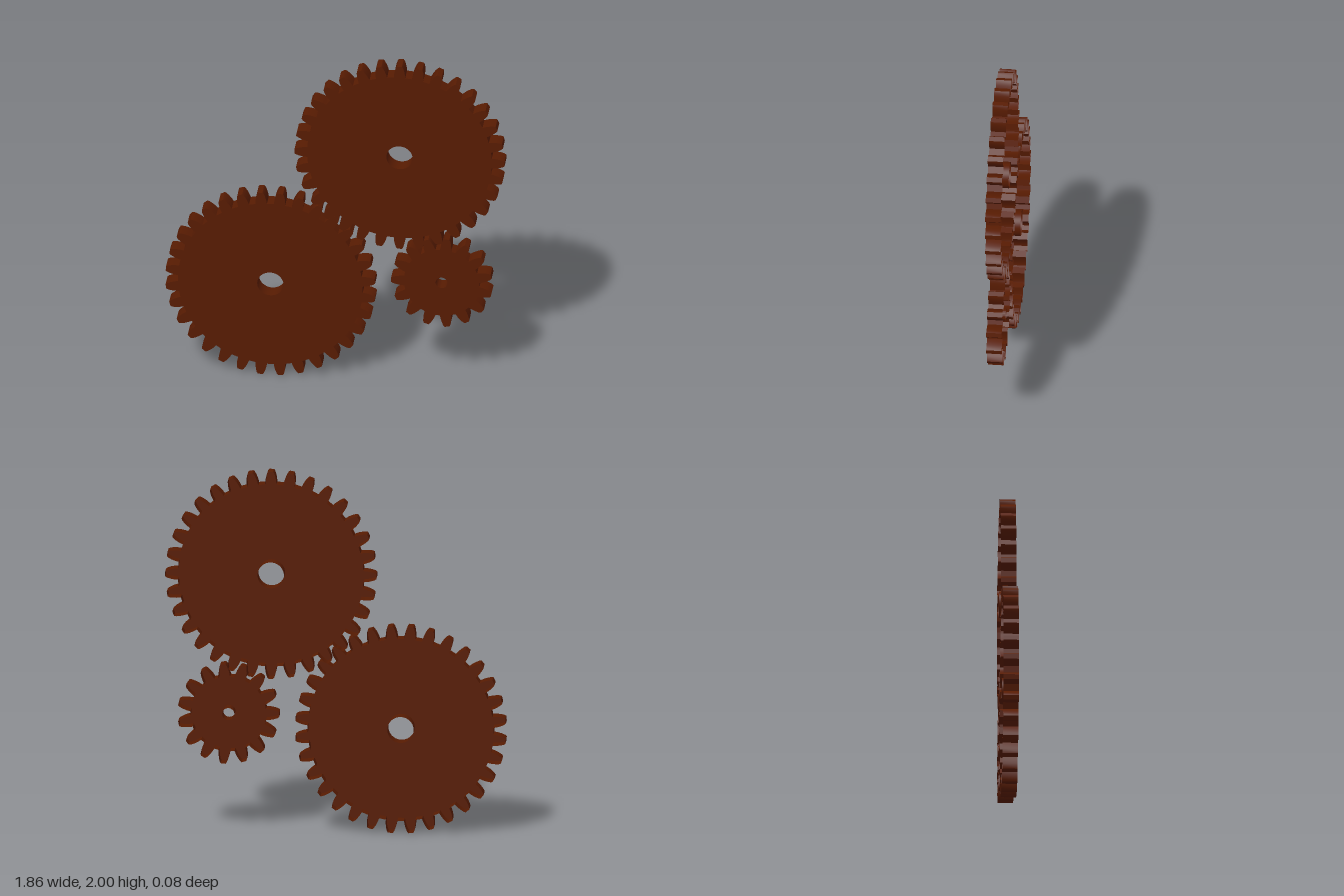
import * as THREE from 'three';
import { toCreasedNormals } from 'three/addons/utils/BufferGeometryUtils.js';

const HALF = 0.042; // half of the gear thickness

// Half of one tooth: [height fraction from root to tip, half width]
const FLANK = [[0, 0.031], [0.3, 0.0295], [0.6, 0.0255], [0.87, 0.0195], [1, 0.013]];

// Toothed outline with a round shaft hole
function gearShape({ teeth, root, tip, bore, phase }) {
  const points = [];
  const add = (middle, h, w) => {
    const r = root + (tip - root) * h;
    const angle = middle + w / r;
    points.push(new THREE.Vector2(r * Math.cos(angle), r * Math.sin(angle)));
  };
  for (let i = 0; i < teeth; i++) {
    const middle = phase + (i / teeth) * Math.PI * 2;
    // rising flank, then its mirror image
    for (const [h, w] of FLANK) add(middle, h, -w);
    for (const [h, w] of [...FLANK].reverse()) add(middle, h, w);
  }
  const shape = new THREE.Shape(points);
  const hole = new THREE.Path();
  hole.absarc(0, 0, bore, 0, Math.PI * 2, true);
  shape.holes.push(hole);
  return shape;
}

// Wall running through the thickness along a closed outline
function wallGeometry(outline) {
  const positions = [];
  outline.forEach((p, i) => {
    const q = outline[(i + 1) % outline.length];
    positions.push(
      p.x, p.y, -HALF, q.x, q.y, -HALF, q.x, q.y, HALF,
      p.x, p.y, -HALF, q.x, q.y, HALF, p.x, p.y, HALF,
    );
  });
  const geometry = new THREE.BufferGeometry();
  geometry.setAttribute('position', new THREE.Float32BufferAttribute(positions, 3));
  return toCreasedNormals(geometry, 0.5);
}

export function createModel() {
  const group = new THREE.Group();
  const rust = new THREE.MeshStandardMaterial({ color: 0x571b02, side: THREE.DoubleSide });
  rust.name = 'rust brown';

  const large = { teeth: 32, root: 0.506, tip: 0.575, bore: 0.072 };
  const gears = [
    { name: 'upperLargeGear', x: 0.352, y: 1.425, ...large, phase: 0 },
    { name: 'lowerLargeGear', x: -0.355, y: 0.576, ...large, phase: Math.PI / 32 },
    { name: 'smallGear', x: 0.583, y: 0.651, teeth: 15, root: 0.207, tip: 0.277, bore: 0.033, phase: Math.PI },
  ];

  for (const spec of gears) {
    const gear = new THREE.Group();
    gear.name = spec.name;
    gear.position.set(spec.x, spec.y, 0);
    const addPart = (name, geometry) => {
      const mesh = new THREE.Mesh(geometry, rust);
      mesh.name = name;
      gear.add(mesh);
    };

    // front plate, with toothed rim and shaft sleeve open at the back
    const shape = gearShape(spec);
    const outline = shape.getPoints();
    const hole = shape.holes[0].getPoints(20);
    hole.pop(); // last point repeats the first
    addPart('frontPlate', new THREE.ShapeGeometry(shape, 20).translate(0, 0, HALF));
    addPart('toothedRim', wallGeometry(outline));
    addPart('shaftSleeve', wallGeometry(hole));
    group.add(gear);
  }
  return group;
}
